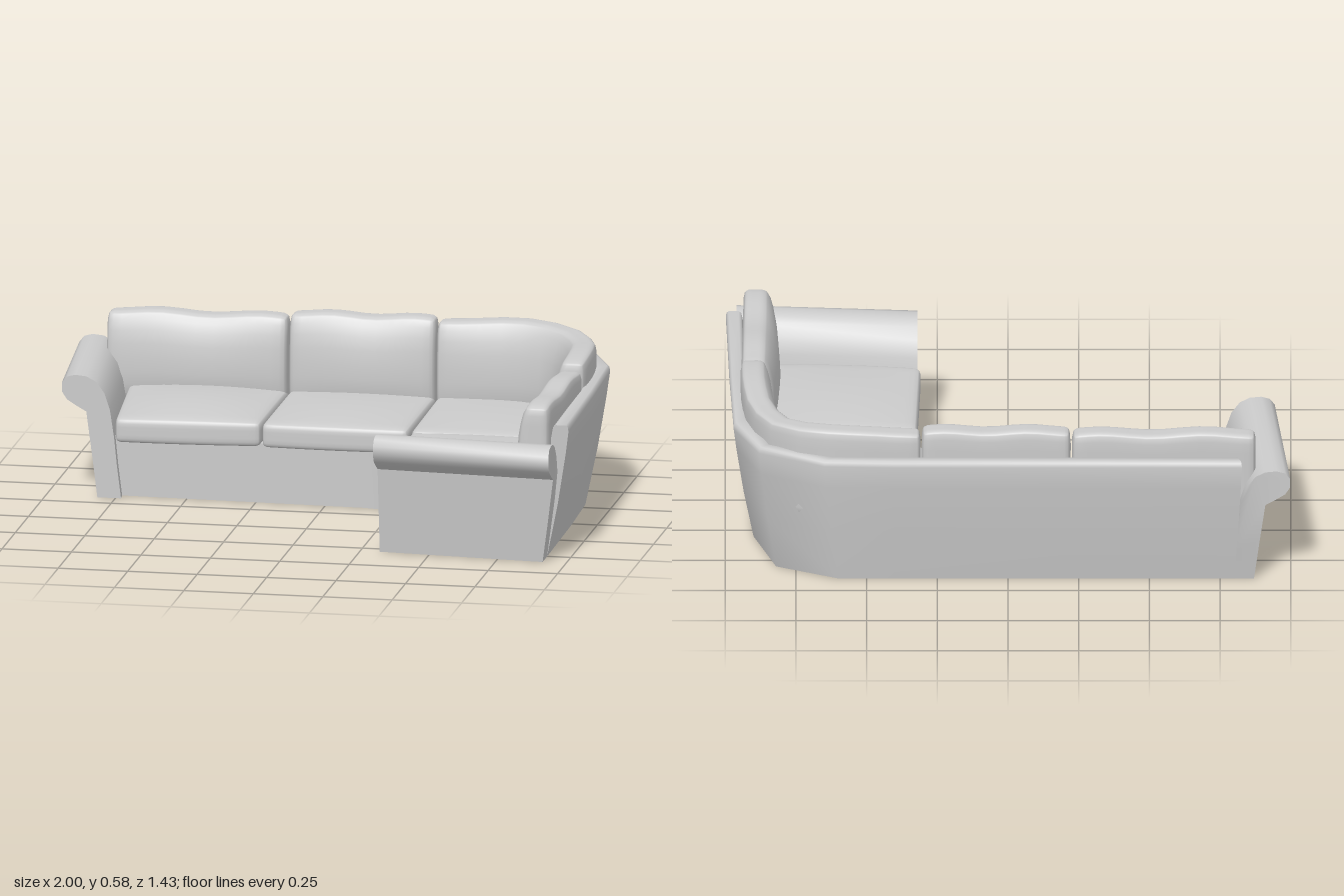
import * as THREE from 'three';
import { mergeVertices, toCreasedNormals } from 'three/addons/utils/BufferGeometryUtils.js';

const material = new THREE.MeshStandardMaterial({ color: 0xcccccc });
const lerp = THREE.MathUtils.lerp;

function mesh(name, geometry) {
  const m = new THREE.Mesh(geometry, material);
  m.name = name;
  return m;
}

// Sweeps a closed 2D profile through `count` stations; place(a, b, i) gives [x, y, z]
function sweep(profile, count, place) {
  const ring = profile.map(([a, b]) => new THREE.Vector2(a, b));
  if (THREE.ShapeUtils.area(ring) < 0) ring.reverse();
  const n = ring.length;
  const pts = [];
  for (let i = 0; i < count; i++)
    for (const p of ring) pts.push(new THREE.Vector3(...place(p.x, p.y, i)));
  const tris = [];
  for (let i = 0; i < count - 1; i++) {
    for (let j = 0; j < n; j++) {
      const a = i * n + j, b = i * n + (j + 1) % n;
      tris.push([a, b, b + n], [a, b + n, a + n]);
    }
  }
  const end = (count - 1) * n;
  for (const [a, b, c] of THREE.ShapeUtils.triangulateShape(ring, []))
    tris.push([c, b, a], [end + a, end + b, end + c]);
  // Keep faces outward when the placement mirrors the profile
  const volume = tris.reduce((v, [a, b, c]) =>
    v + pts[a].dot(new THREE.Vector3().crossVectors(pts[b], pts[c])), 0);
  if (volume < 0) tris.forEach((t) => t.reverse());
  const g = new THREE.BufferGeometry().setFromPoints(pts);
  g.setIndex(tris.flat());
  return toCreasedNormals(g, 0.9);
}

// Soft rounded block, grid tightened towards the edges, each vertex then moved by shape(p, u, v, w)
function softBlock(w, h, d, r, shape) {
  let g = new THREE.BoxGeometry(2, 2, 2, 16, 10, 14);
  g.deleteAttribute('normal');
  g.deleteAttribute('uv');
  g = mergeVertices(g);
  const half = new THREE.Vector3(w / 2, h / 2, d / 2);
  const core = half.clone().subScalar(r);
  const pos = g.attributes.position;
  const p = new THREE.Vector3(), c = new THREE.Vector3();
  for (let i = 0; i < pos.count; i++) {
    p.fromBufferAttribute(pos, i);
    for (const k of ['x', 'y', 'z']) p[k] = half[k] * Math.sin(p[k] * Math.PI / 2);
    c.copy(p).clamp(core.clone().negate(), core);
    p.sub(c);
    if (p.length() > 1e-6) p.setLength(r);
    p.add(c);
    shape(p, p.x / half.x, p.y / half.y, p.z / half.z);
    pos.setXYZ(i, p.x, p.y, p.z);
  }
  g.computeVertexNormals();
  return g;
}

// Seat cushion stretched over four plan corners: back left, back right, front right, front left
function seatCushion([bl, br, fr, fl], crown) {
  const h = 0.09;
  return softBlock(br[0] - bl[0], h, fl[1] - bl[1], 0.022, (p, u, v, w) => {
    const s = (u + 1) / 2, t = (w + 1) / 2;
    const dome = crown * (1 - u * u) * (1 - w * w * 0.9) * (v + 1) / 2;
    const bulge = 0.012 * (1 - u * u) * t * t;
    p.set(
      lerp(lerp(bl[0], br[0], s), lerp(fl[0], fr[0], s), t),
      0.253 + p.y + dome,
      lerp(lerp(bl[1], br[1], s), lerp(fl[1], fr[1], s), t) + bulge);
  });
}

// Back cushion bent along a plan path, with a full belly and a slightly wavy top
function backCushion(path, top, wave) {
  const curve = new THREE.CatmullRomCurve3(path.map(([x, z]) => new THREE.Vector3(x, 0, z)));
  const bottom = 0.24;
  return softBlock(curve.getLength(), top - bottom, 0.085, 0.024, (p, u, v, w) => {
    const s = THREE.MathUtils.clamp((u + 1) / 2, 0, 1);
    const at = curve.getPointAt(s), dir = curve.getTangentAt(s);
    const belly = (w + 1) / 2 * (0.045 * (1 - v * v) + (v < 0 ? 0.025 * -v : 0));
    const off = p.z + belly * (0.6 + 0.4 * (1 - u * u));
    const lift = (v + 1) / 2 * wave * Math.cos(u * Math.PI * 1.8 + 2.4);
    p.set(at.x - dir.z * off, (top + bottom) / 2 + p.y + lift, at.z + dir.x * off);
  });
}

// Outer plan line of the back shell at the floor and at the rim
const floorLine = [[-0.8, -0.65], [0.4, -0.65], [0.6, -0.65], [0.82, -0.55], [0.9, -0.3], [0.91, 0], [0.915, 0.5]];
const rimLine = [[-0.83, -0.72], [0.4, -0.72], [0.65, -0.71], [0.88, -0.6], [0.97, -0.4], [0.985, 0], [0.998, 0.535]];

function backShell() {
  // [0 = floor line, 1 = rim line; height]
  const profile = [[0, 0], [0.5, 0.2], [0.86, 0.38], [1, 0.465], [0.97, 0.48], [0.88, 0.487],
    [0.45, 0.487], [0.34, 0.48], [0.3, 0.465], [-0.3, 0.2], [-0.6, 0]];
  return sweep(profile, floorLine.length, (k, y, i) => [
    lerp(floorLine[i][0], rimLine[i][0], i === 0 || i === floorLine.length - 1 ? Math.max(k, 0) * (i ? 1 : 0.9) + (k < 0 && i ? k : 0) : k),
    y,
    lerp(floorLine[i][1], rimLine[i][1], i === floorLine.length - 1 ? y / 0.487 : k)]);
}

// Rolled arm section: [outward, height]
const armProfile = [[0.87, 0], [0.89, 0.16], [0.91, 0.31], [0.945, 0.33], [0.98, 0.352], [0.998, 0.38], [0.998, 0.412],
  [0.98, 0.434], [0.95, 0.442], [0.91, 0.438], [0.875, 0.42], [0.845, 0.38], [0.825, 0.32], [0.81, 0.22],
  [0.8, 0.12], [0.785, 0]];

// Arm placed by (outward, height, back-to-front 0..1, slope of the back edge)
const arm = (place) => sweep(armProfile, 2, (o, y, i) => place(o, y, i, 0.05 * Math.min(y / 0.3, 1)));

function base() {
  const plan = [[-0.83, -0.64], [0.6, -0.64], [0.81, -0.54], [0.89, -0.3], [0.9, 0.54],
    [0.36, 0.5], [0.36, 0.12], [0.345, 0.05], [0.3, -0.035], [0.23, -0.08], [0.14, -0.1], [-0.77, -0.125]];
  const shape = new THREE.Shape(plan.map(([x, z]) => new THREE.Vector2(x, -z)));
  const g = new THREE.ExtrudeGeometry(shape, { depth: 0.215, bevelEnabled: false });
  return toCreasedNormals(g.rotateX(-Math.PI / 2), 0.7);
}

export function createModel() {
  const sofa = new THREE.Group();
  sofa.name = 'cornerSofa';
  sofa.add(mesh('base', base()), mesh('backShell', backShell()));

  sofa.add(mesh('rightArm', arm((o, y, t, s) => [-o + 0.055 * t, y, lerp(-0.65 - s, -0.08, t)])));
  sofa.add(mesh('leftArm', arm((o, y, t, s) => [lerp(0.915 + s * 0.9, 0.32, t), y, o - 0.283 - 0.045 * t])));

  const seats = [
    [[[-0.8, -0.62], [-0.225, -0.62], [-0.228, -0.075], [-0.745, -0.045]], 0.028],
    [[[-0.22, -0.62], [0.305, -0.62], [0.305, -0.065], [-0.222, -0.065]], 0.018],
    [[[0.31, -0.62], [0.8, -0.58], [0.89, -0.052], [0.315, -0.062]], 0.012],
    [[[0.322, -0.05], [0.89, -0.045], [0.885, 0.505], [0.308, 0.475]], 0.018],
  ];
  seats.forEach(([corners, crown], i) => sofa.add(mesh('seatCushion' + (i + 1), seatCushion(corners, crown))));

  const backs = [
    [[[-0.875, -0.618], [-0.227, -0.622]], 0.563, 0.006],
    [[[-0.22, -0.63], [0.305, -0.63]], 0.578, 0.005],
    [[[0.31, -0.632], [0.46, -0.634], [0.62, -0.632], [0.79, -0.56], [0.875, -0.4], [0.9, -0.22], [0.903, -0.04]], 0.575, 0.007],
    [[[0.9, -0.03], [0.892, 0.583]], 0.558, 0.006],
  ];
  backs.forEach(([path, top, wave], i) => sofa.add(mesh('backCushion' + (i + 1), backCushion(path, top, wave))));
  return sofa;
}
